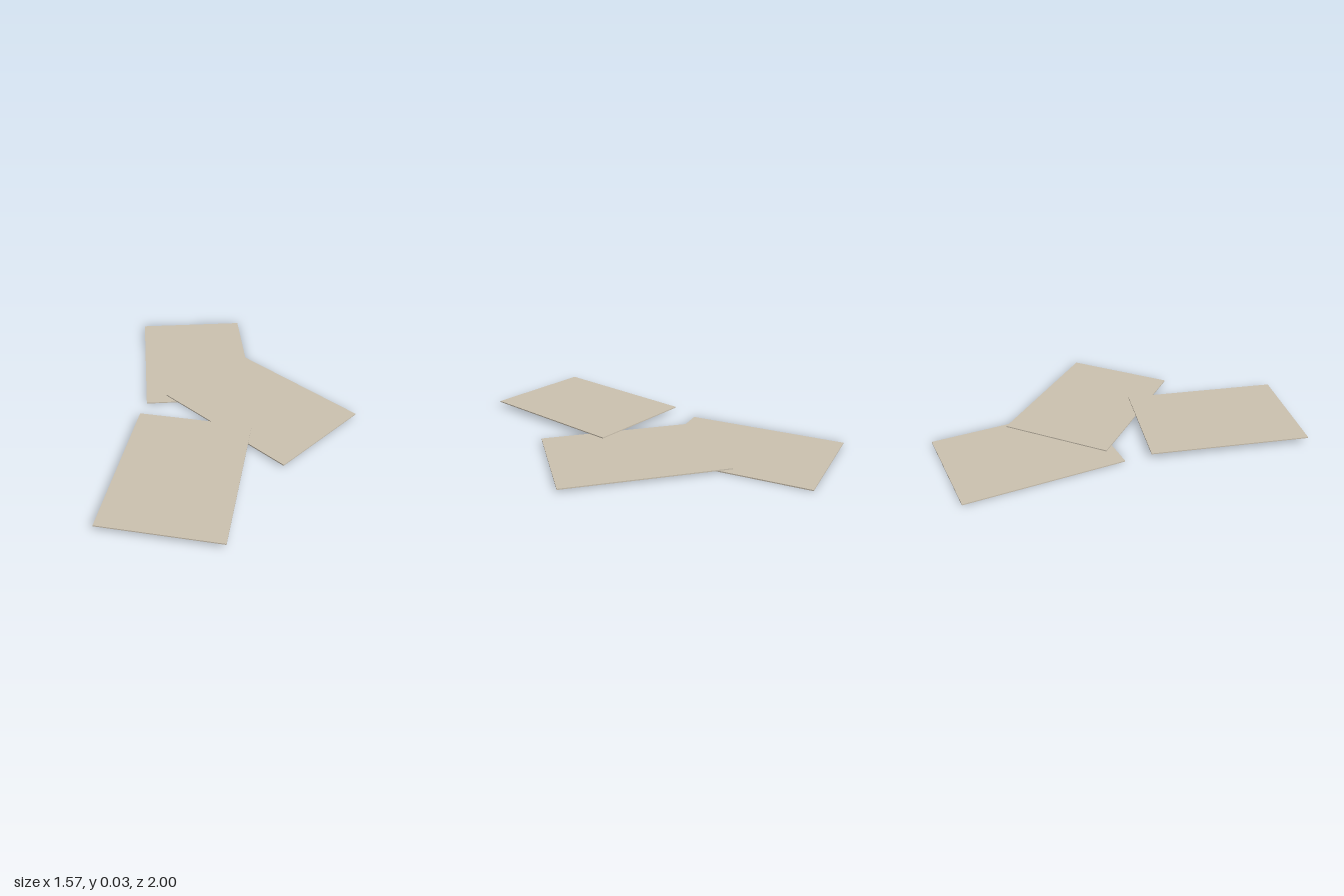
import * as THREE from 'three';

export function createModel() {
  const group = new THREE.Group();
  group.name = 'scatteredSheets';
  const paper = new THREE.MeshStandardMaterial({ color: 0xcdc3b1 });
  paper.name = 'paper';

  // One thin sheet size shared by all three
  const thickness = 0.006;
  const sheet = new THREE.BoxGeometry(0.611, thickness, 0.864);

  // Centre x, y, z and turn about the vertical for each overlapping sheet
  const layout = [
    ['bottomSheet', 0.183, thickness / 2, -0.495, -0.313],
    ['middleSheet', 0.332, 0.015, 0.084, 0.397],
    ['topSheet', -0.294, 0.031, 0.468, -0.571],
  ];
  for (const [name, x, y, z, turn] of layout) {
    const mesh = new THREE.Mesh(sheet, paper);
    mesh.name = name;
    mesh.position.set(x, y, z);
    mesh.rotation.y = turn;
    group.add(mesh);
  }
  return group;
}
